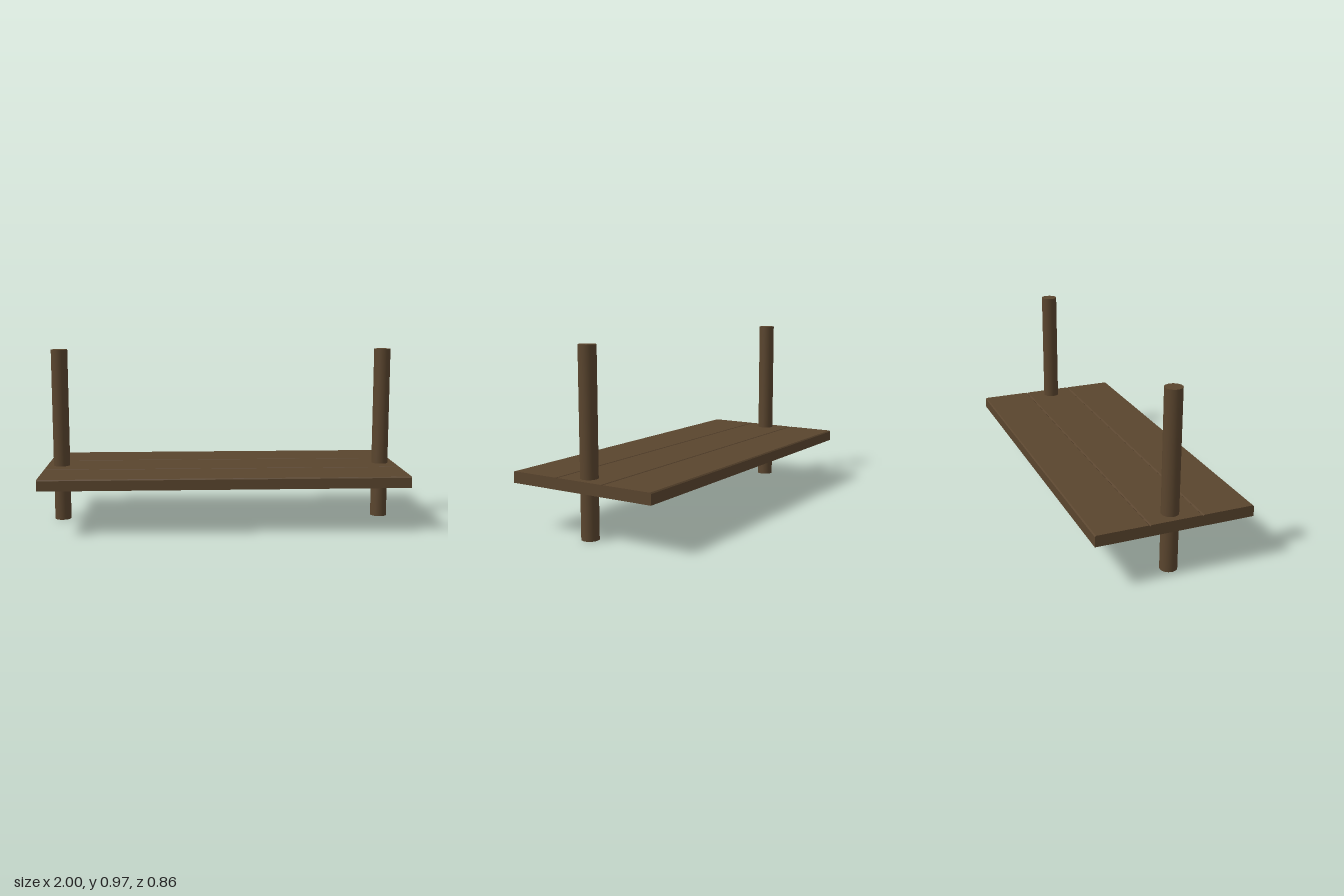
import * as THREE from 'three';

export function createModel() {
  const model = new THREE.Group();
  const wood = new THREE.MeshStandardMaterial({ color: 0x5a452e });
  wood.name = 'dark brown wood';

  // Three planks side by side, each with chamfered top edges that meet in shallow V grooves
  const halfDepth = 0.429, plankWidth = halfDepth * 2 / 3;
  const bottom = 0.25, top = 0.311, bevel = 0.006;
  const profile = new THREE.Shape();
  profile.moveTo(-halfDepth, bottom);
  profile.lineTo(halfDepth, bottom);
  for (let i = 0; i < 3; i++) {
    const edge = halfDepth - i * plankWidth;
    profile.lineTo(edge, top - bevel);
    profile.lineTo(edge - bevel, top);
    profile.lineTo(edge - plankWidth + bevel, top);
  }
  profile.lineTo(-halfDepth, top - bevel);
  profile.closePath();
  const boardGeometry = new THREE.ExtrudeGeometry(profile, { depth: 2, bevelEnabled: false });
  boardGeometry.translate(0, 0, -1).rotateY(Math.PI / 2);
  const board = new THREE.Mesh(boardGeometry, wood);
  board.name = 'plankBoard';
  model.add(board);

  // Round post through each end of the board
  const postHeight = 0.972;
  const postGeometry = new THREE.CylinderGeometry(0.046, 0.046, postHeight, 32);
  for (const side of [-1, 1]) {
    const post = new THREE.Mesh(postGeometry, wood);
    post.name = side > 0 ? 'leftPost' : 'rightPost';
    post.position.set(side * 0.918, postHeight / 2, 0);
    model.add(post);
  }
  return model;
}
